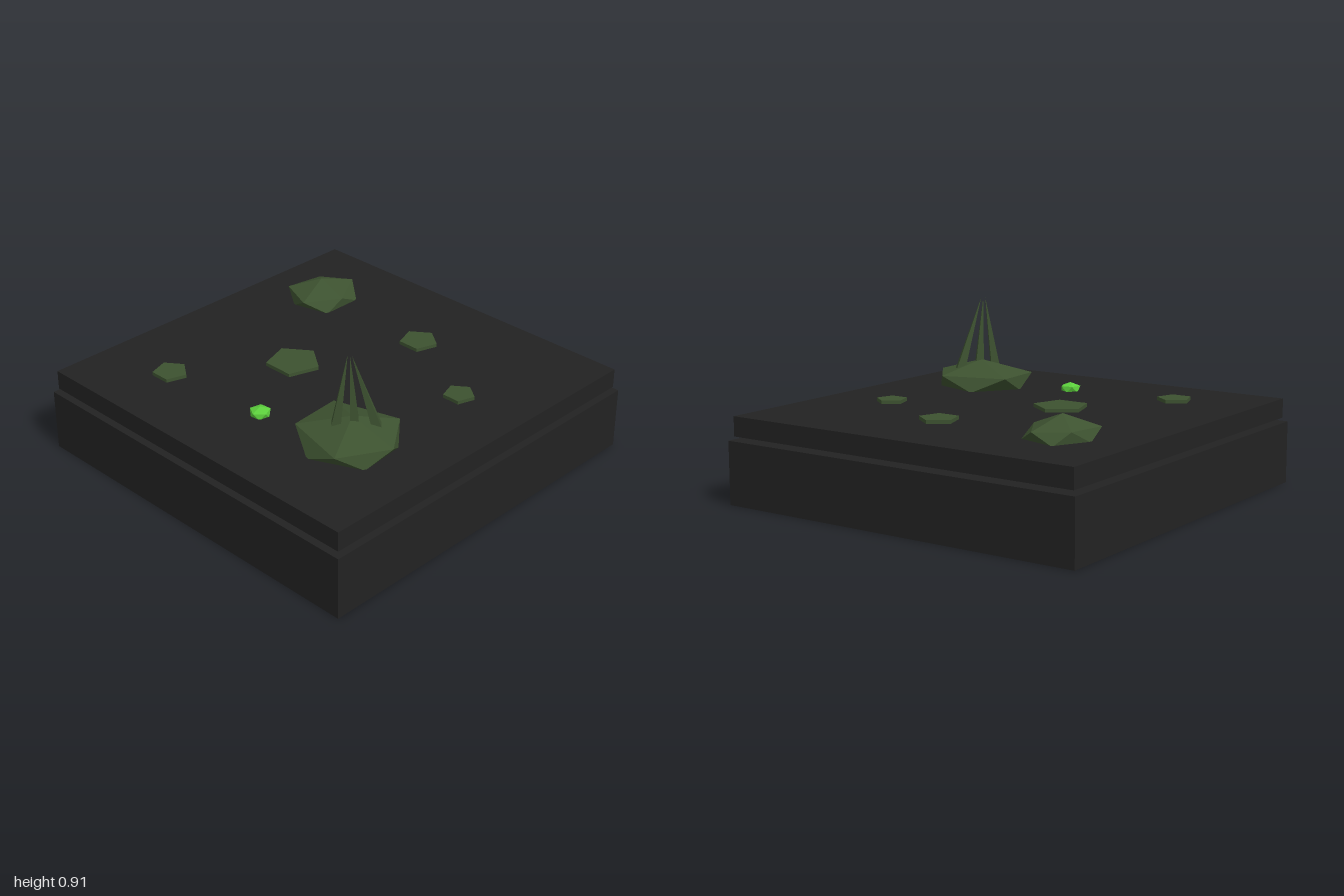
import * as THREE from 'three';

const TOP = 0.44; // height of the upper slab's surface

export function createModel() {
  const group = new THREE.Group();
  const material = (name, color) => {
    const m = new THREE.MeshStandardMaterial({ color, flatShading: true });
    m.name = name;
    return m;
  };
  const stone = material('dark stone', 0x222222);
  const moss = material('moss green', 0x3d5230);
  const glow = material('bright green', 0x5ccf3c);

  const add = (name, geometry, mat, x = 0, y = 0, z = 0) => {
    const mesh = new THREE.Mesh(geometry, mat);
    mesh.name = name;
    mesh.position.set(x, y, z);
    group.add(mesh);
    return mesh;
  };

  // Faceted rock: apex, an upper ring and a staggered ground ring of [x, z] points
  const rock = (apex, upper, upperY, lower) => {
    const up = upper.map(([x, z]) => [x, upperY, z]);
    const low = lower.map(([x, z]) => [x, TOP - 0.005, z]);
    const points = [];
    up.forEach((a, i) => {
      const j = (i + 1) % up.length;
      points.push(apex, up[j], a, a, up[j], low[i], low[i], up[j], low[j]);
    });
    const g = new THREE.BufferGeometry();
    g.setAttribute('position', new THREE.Float32BufferAttribute(points.flat(), 3));
    g.computeVertexNormals();
    return g;
  };

  // Two stacked slabs with a narrow gap
  add('baseSlab', new THREE.BoxGeometry(2, 0.32, 2), stone, 0, 0.16, 0);
  add('topSlab', new THREE.BoxGeometry(1.96, 0.1, 1.96), stone, 0, 0.39, 0);

  // Boulders
  add('largeBoulder', rock([0.52, 0.582, 0.42],
    [[0.28, 0.30], [0.615, 0.20], [0.775, 0.415], [0.64, 0.66], [0.30, 0.575]], 0.511,
    [[0.44, 0.215], [0.70, 0.30], [0.725, 0.55], [0.47, 0.667], [0.285, 0.44]]), moss);
  add('smallBoulder', rock([-0.61, 0.555, -0.505],
    [[-0.755, -0.40], [-0.72, -0.60], [-0.57, -0.70], [-0.45, -0.50], [-0.56, -0.32]], 0.494,
    [[-0.76, -0.50], [-0.67, -0.68], [-0.46, -0.62], [-0.46, -0.40], [-0.66, -0.35]]), moss);

  // Small bright pebble
  const ring = (r, turn) => Array.from({ length: 5 }, (_, i) => {
    const a = turn + (i * Math.PI * 2) / 5;
    return [0.04 + r * Math.cos(a), 0.555 + r * Math.sin(a)];
  });
  add('brightPebble', rock([0.04, 0.485, 0.555], ring(0.052, 0.2), 0.467,
    ring(0.047, 0.2 + Math.PI / 5)), glow);

  // Thin spikes leaning together above the large boulder
  [
    [[0.475, 0.53, 0.485], [0.512, 0.91, 0.445]],
    [[0.535, 0.53, 0.42], [0.523, 0.91, 0.442]],
    [[0.603, 0.53, 0.345], [0.534, 0.91, 0.44]],
  ].forEach(([from, to], i) => {
    const a = new THREE.Vector3(...from), b = new THREE.Vector3(...to);
    const dir = b.clone().sub(a);
    const mid = a.add(b).multiplyScalar(0.5);
    const spike = add(`spike${i + 1}`, new THREE.ConeGeometry(0.032, dir.length(), 4), moss, mid.x, mid.y, mid.z);
    spike.quaternion.setFromUnitVectors(new THREE.Vector3(0, 1, 0), dir.normalize());
  });

  // Flat five-sided moss patches: x, z, radius
  [[-0.2, 0.1, 0.14], [0.1, -0.5, 0.1], [0.6, -0.24, 0.08], [-0.56, 0.6, 0.09]].forEach(([x, z, r], i) => {
    const patch = add(`mossPatch${i + 1}`, new THREE.CylinderGeometry(r, r, 0.02, 5), moss, x, TOP + 0.008, z);
    patch.rotation.y = Math.PI;
  });

  return group;
}
